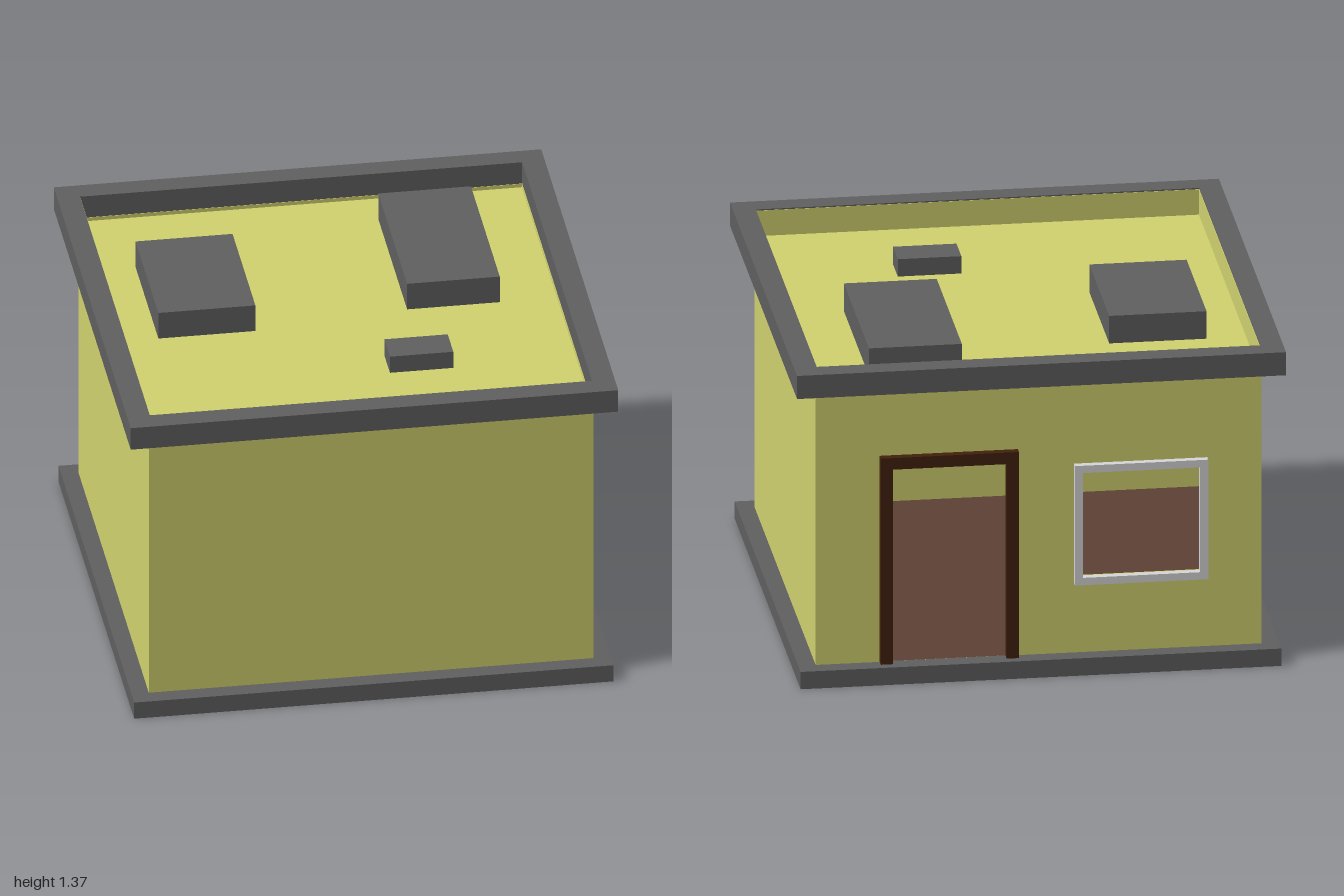
import * as THREE from 'three';

const mat = (name, color) => {
  const m = new THREE.MeshStandardMaterial({ color });
  m.name = name;
  return m;
};

export function createModel() {
  const group = new THREE.Group();
  const yellow = mat('wall yellow', 0xd2d36f);
  const grey = mat('concrete grey', 0x606060);
  const brown = mat('floor brown', 0x5e4136);
  const wood = mat('dark wood', 0x42200c);
  const white = mat('window frame light grey', 0xd8d8da);
  const black = mat('knob black', 0x1c1c1c);

  const add = (name, geometry, material, parent = group) => {
    const mesh = new THREE.Mesh(geometry, material);
    mesh.name = name;
    parent.add(mesh);
    return mesh;
  };
  // Box given by its limits on each axis
  const box = (name, material, [x0, x1], [y0, y1], [z0, z1], parent = group) => {
    const mesh = add(name, new THREE.BoxGeometry(x1 - x0, y1 - y0, z1 - z0), material, parent);
    mesh.position.set((x0 + x1) / 2, (y0 + y1) / 2, (z0 + z1) / 2);
    return mesh;
  };
  const rect = (Type, x0, x1, y0, y1) => new Type([
    new THREE.Vector2(x0, y0), new THREE.Vector2(x1, y0),
    new THREE.Vector2(x1, y1), new THREE.Vector2(x0, y1),
  ]);
  // Rectangular sheet with rectangular holes, extruded along z
  const panel = (outer, holes, depth) => {
    const shape = rect(THREE.Shape, ...outer);
    holes.forEach((h) => shape.holes.push(rect(THREE.Path, ...h)));
    return new THREE.ExtrudeGeometry(shape, { depth, bevelEnabled: false });
  };
  // Square ring lying flat
  const ring = (name, outer, inner, y0, y1) => {
    const g = panel([-outer, outer, -outer, outer], [[-inner, inner, -inner, inner]], y1 - y0);
    add(name, g.rotateX(-Math.PI / 2), grey).position.y = y0;
  };

  const W = 0.912, I = 0.905; // outer and inner faces of the thin walls
  const base = 0.072, tall = 1.36, low = 1.266;

  // Foundation: a skirt under a flat rim, with the floor set in it
  ring('foundationSkirt', 0.983, 0.977, 0, 0.07);
  ring('foundationRim', 0.983, 0.908, 0.069, 0.075);
  box('floor', brown, [-0.909, 0.909], [0.067, 0.073], [-0.909, 0.909]);

  // Roof
  ring('roofTrim', 1, 0.907, 1.265, 1.365);
  box('roof', yellow, [-0.908, 0.908], [1.24, 1.25], [-0.908, 0.908]);

  // Walls; two of them rise to line the parapet
  box('frontWall', yellow, [-W, W], [base, tall], [I, W]);
  box('rightWall', yellow, [-W, -I], [base, tall], [-I, I]);
  box('leftWall', yellow, [I, W], [base, low], [-I, I]);
  const door = [0.134, 0.601, base + 0.002, 0.92];
  const win = [-0.657, -0.178, 0.407, 0.861];
  add('backWall', panel([-W, W, base, low], [door, win], W - I), yellow).position.z = -W;

  // Rooftop boxes
  box('roofBoxRight', grey, [-0.743, -0.345], [1.249, 1.369], [-0.503, 0.091]);
  box('roofBoxLeft', grey, [0.29, 0.67], [1.249, 1.369], [-0.738, 0.012]);
  box('roofBoxSmall', grey, [0.14, 0.4], [1.249, 1.325], [0.37, 0.515]);

  // Door frame, with its head running through the wall
  const frame = new THREE.Group();
  frame.name = 'doorFrame';
  group.add(frame);
  box('doorPostLeft', wood, [0.6, 0.65], [0.075, 0.918], [-0.946, -W], frame);
  box('doorPostRight', wood, [0.085, 0.135], [0.075, 0.918], [-0.946, -W], frame);
  box('doorHead', wood, [0.085, 0.65], [0.918, 0.968], [-0.946, -W], frame);
  box('doorHeadLining', wood, [0.135, 0.6], [0.912, 0.919], [-W, -0.85], frame);

  // Open door, hinged on the left and swung inward
  const leaf = new THREE.Group();
  leaf.name = 'openDoor';
  leaf.position.set(0.615, 0, -0.857);
  leaf.rotation.y = 0.19;
  group.add(leaf);
  box('doorPanel', grey, [-0.012, 0.012], [0.065, 0.905], [0, 0.457], leaf);
  for (const s of [-1, 1]) {
    const stem = add('knobStem', new THREE.CylinderGeometry(0.007, 0.007, 0.03, 10), black, leaf);
    stem.rotation.z = Math.PI / 2;
    stem.position.set(s * 0.024, 0.46, 0.42);
    add('knob', new THREE.SphereGeometry(0.018, 14, 10), black, leaf).position.set(s * 0.045, 0.46, 0.42);
  }

  // Window frame around the open window
  add('windowFrame', panel([-0.69, -0.145, 0.375, 0.893], [win], 0.03), white).position.z = -0.941;

  return group;
}
